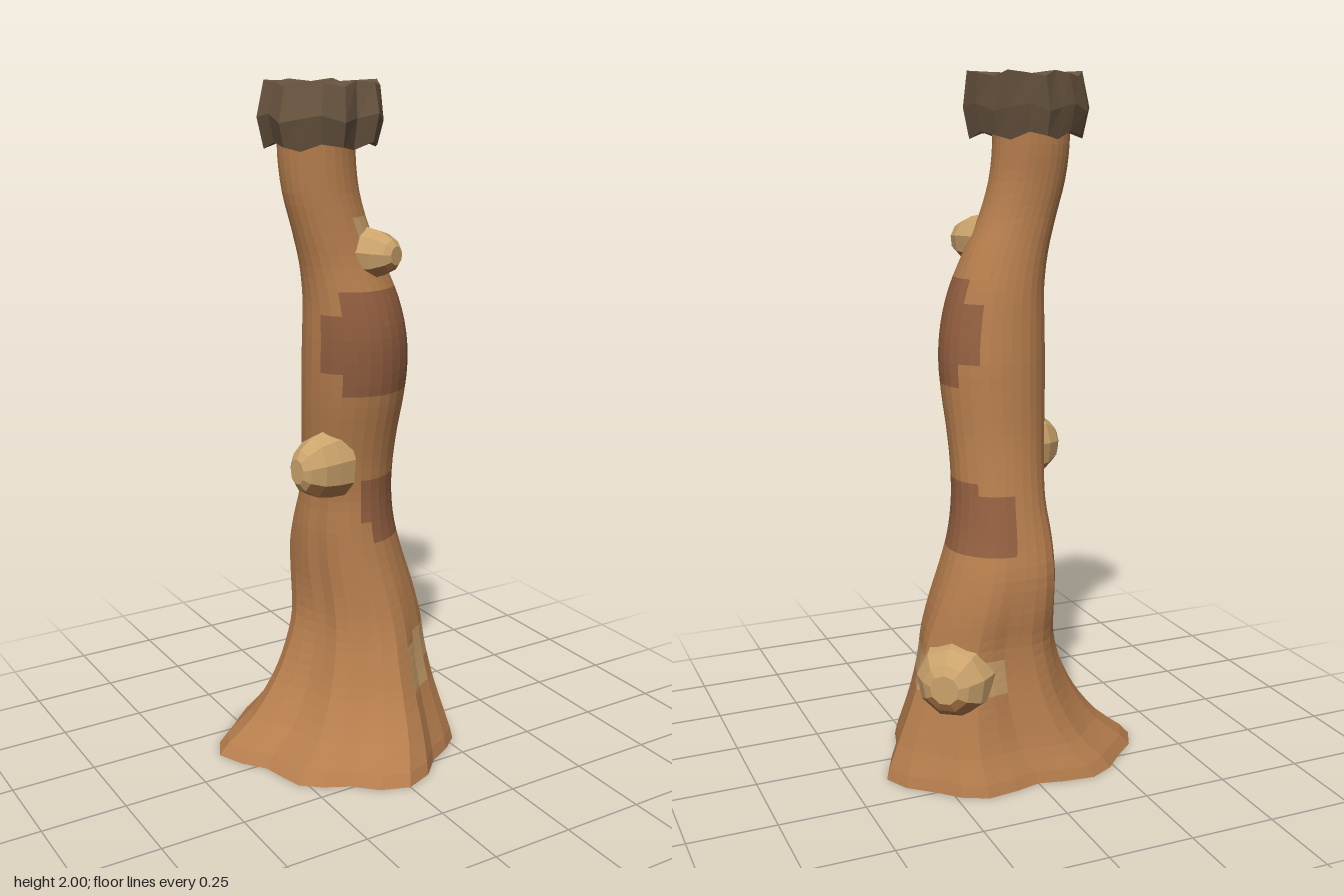
import * as THREE from 'three';

const mat = (color) => new THREE.MeshStandardMaterial({ color, flatShading: true, side: THREE.DoubleSide });
const MATS = { bark: mat(0xb57d4d), darkBark: mat(0x935f40), paleBark: mat(0xc29a68), knotTop: mat(0xcba36c), crown: mat(0x66523e) };

// Half of the root outline, front to back, scaled to the unit square
const HALF = [[0, .337], [.085, .305], [.145, .245], [.22, .205], [.275, .16], [.295, .09], [.31, .025], [.36, -.04],
  [.395, -.12], [.36, -.19], [.29, -.25], [.235, -.305], [.165, -.34], [.075, -.33], [0, -.313]]
  .map(([x, z]) => [x / .395, z / .34]);
const ROOTS = [...HALF, ...HALF.slice(1, -1).reverse().map(([x, z]) => [-x, z])];

// Trunk extents every 0.1 in height: min x, max x, min z, max z
const EXTENTS = [
  [-.395, .395, -.34, .34], [-.28, .36, -.30, .27], [-.20, .325, -.275, .205], [-.15, .295, -.258, .16],
  [-.118, .275, -.25, .125], [-.11, .245, -.258, .10], [-.112, .21, -.255, .08], [-.112, .18, -.232, .068],
  [-.105, .165, -.21, .065], [-.112, .162, -.19, .075], [-.122, .166, -.175, .095], [-.13, .174, -.167, .12],
  [-.135, .177, -.16, .138], [-.137, .165, -.148, .145], [-.137, .14, -.135, .132], [-.148, .10, -.12, .105],
  [-.172, .055, -.11, .087], [-.197, .027, -.112, .077], [-.207, .017, -.12, .075], [-.207, .017, -.12, .077]];

// Smooth interpolation through the extents table
function extentsAt(t) {
  const i = Math.min(Math.floor(t), EXTENTS.length - 2), f = t - i;
  const row = (k) => EXTENTS[Math.max(0, Math.min(EXTENTS.length - 1, k))];
  return [0, 1, 2, 3].map((k) => {
    const a = row(i - 1)[k], b = row(i)[k], c = row(i + 1)[k], d = row(i + 2)[k];
    return b + .5 * f * (c - a + f * (2 * a - 5 * b + 4 * c - d + f * (3 * (b - c) + d - a)));
  });
}

// Skins closed rings (first to last), caps both ends, sorts faces into one mesh per colour
function loft(rings, colourOf, names) {
  const buckets = {};
  const add = (key, ...pts) => {
    buckets[key] ??= [];
    pts.forEach((p) => buckets[key].push(p.x, p.y, p.z));
  };
  const n = rings[0].length;
  for (let i = 0; i < rings.length - 1; i++) {
    for (let j = 0; j < n; j++) {
      const k = (j + 1) % n;
      const a = rings[i][j], b = rings[i][k], c = rings[i + 1][k], d = rings[i + 1][j];
      const mid = a.clone().add(b).add(c).add(d).multiplyScalar(.25);
      add(colourOf(mid), a, b, c, a, c, d);
    }
  }
  [rings[0], rings[rings.length - 1]].forEach((ring, end) => {
    const mid = ring.reduce((s, p) => s.add(p), new THREE.Vector3()).divideScalar(n);
    ring.forEach((p, j) => {
      const q = ring[(j + 1) % n];
      end ? add(colourOf(mid), p, q, mid) : add(colourOf(mid), q, p, mid);
    });
  });
  return Object.entries(buckets).map(([key, pos]) => {
    const geo = new THREE.BufferGeometry();
    geo.setAttribute('position', new THREE.Float32BufferAttribute(pos, 3));
    geo.computeVertexNormals();
    const mesh = new THREE.Mesh(geo, MATS[key]);
    mesh.name = names[key];
    return mesh;
  });
}

const bump = (v, centre, width) => Math.exp(-(((v - centre) / width) ** 2));

function trunkRing(y) {
  const [x0, x1, z0, z1] = extentsAt(y * 10);
  // three-lobed at the roots, round higher up
  const lobes = .08 + .92 * (1 - THREE.MathUtils.smoothstep(y, .1, .65));
  return ROOTS.map(([x, z]) => {
    const a = Math.atan2(x, z);
    // a swelling at the back right and a shallow groove up the right side
    const r = 1 + .17 * bump(a, -2.36, .4) * bump(y, .55, .25)
      - .07 * bump(a, -1.2, .2) * bump(y, .6, .35);
    const px = THREE.MathUtils.lerp(Math.sin(a), x, lobes) * r;
    const pz = THREE.MathUtils.lerp(Math.cos(a), z, lobes) * r;
    return new THREE.Vector3((x0 + x1) / 2 + px * (x1 - x0) / 2, y, (z0 + z1) / 2 + pz * (z1 - z0) / 2);
  });
}

// Stained bands on the bark, each with stepped ends
function barkColour(p) {
  const [x0, x1, z0, z1] = extentsAt(p.y * 10);
  const a = THREE.MathUtils.radToDeg(Math.atan2(p.z - (z0 + z1) / 2, p.x - (x0 + x1) / 2));
  const within = (lo, hi, from, to) => p.y > lo && p.y < hi && a > from && a < to;
  if (within(1.15, 1.44, -35, 140) || within(1.2, 1.36, -60, 165)) return 'darkBark';
  if (within(.67, .82, -85, 90) || within(.72, .86, -40, 105)) return 'darkBark';
  if (within(.26, .36, -85, 65) || within(.21, .33, 45, 75)) return 'paleBark';
  if (within(1.54, 1.64, 35, 80)) return 'paleBark';
  return 'bark';
}

// Knot: blunt stub growing outward along (dx, dz), pale with a bark-coloured underside
function knot(name, base, [dx, dz], width, height, length, drop) {
  const out = new THREE.Vector3(dx, 0, dz).normalize();
  const up = new THREE.Vector3(0, 1, 0);
  const side = up.clone().cross(out);
  // distance along the stub, then size there
  const rings = [[-.5, 1.05], [0, 1], [.45, .9], [.85, .62], [1, .38]].map(([along, size]) =>
    Array.from({ length: 9 }, (_, j) => {
      const a = (j + .3) / 9 * Math.PI * 2;
      return new THREE.Vector3(...base).addScaledVector(out, along * length)
        .addScaledVector(side, Math.cos(a) * width * size)
        .addScaledVector(up, Math.sin(a) * height * size);
    }));
  const group = new THREE.Group();
  group.name = name;
  group.add(...loft(rings, (p) => (p.y < base[1] - drop * height ? 'bark' : 'knotTop'),
    { bark: 'knotUnderside', knotTop: 'knotTop' }));
  return group;
}

// Crown outline, counterclockwise from above
const CROWN = [[-.235, -.04], [-.245, .03], [-.2, .06], [-.16, .115], [-.09, .125], [-.03, .09], [.03, .1], [.075, .06],
  [.1, 0], [.09, -.06], [.055, -.11], [.03, -.155], [-.03, -.165], [-.08, -.19], [-.12, -.17], [-.17, -.165],
  [-.22, -.125], [-.245, -.1]];

export function createModel() {
  const model = new THREE.Group();
  model.name = 'treeTrunk';

  // Trunk with flared roots
  const trunk = new THREE.Group();
  trunk.name = 'trunk';
  const rings = Array.from({ length: 58 }, (_, i) => trunkRing(i / 30));
  trunk.add(...loft(rings, barkColour, { bark: 'bark', darkBark: 'darkBands', paleBark: 'palePatches' }));
  model.add(trunk);

  // Rough crown: height, size and sideways shift of each ring
  const crown = [[1.84, .7, 0], [1.825, .9, 0], [1.9, 1, 0], [1.99, .89, .014]].map(([y, s, shift], i) =>
    CROWN.map(([x, z], j) => {
      const wobble = (i === 3 ? .009 : .012) * Math.sin(j * 2.1 + i);
      const notch = j % 2 && i < 3 ? s * .97 : s;
      return new THREE.Vector3(-.072 + shift + (x + .072) * notch, y + wobble, -.03 - shift + (z + .03) * notch);
    }));
  model.add(...loft(crown, () => 'crown', { crown: 'crown' }));

  // Knots on the bark
  model.add(
    knot('lowKnot', [.205, .31, -.185], [.65, -.75], .115, .115, .095, .3),
    knot('middleKnot', [-.1, .92, .02], [-1, .2], .075, .1, .105, .5),
    knot('highKnot', [.02, 1.53, .06], [.4, .9], .075, .072, .095, .3));
  return model;
}
